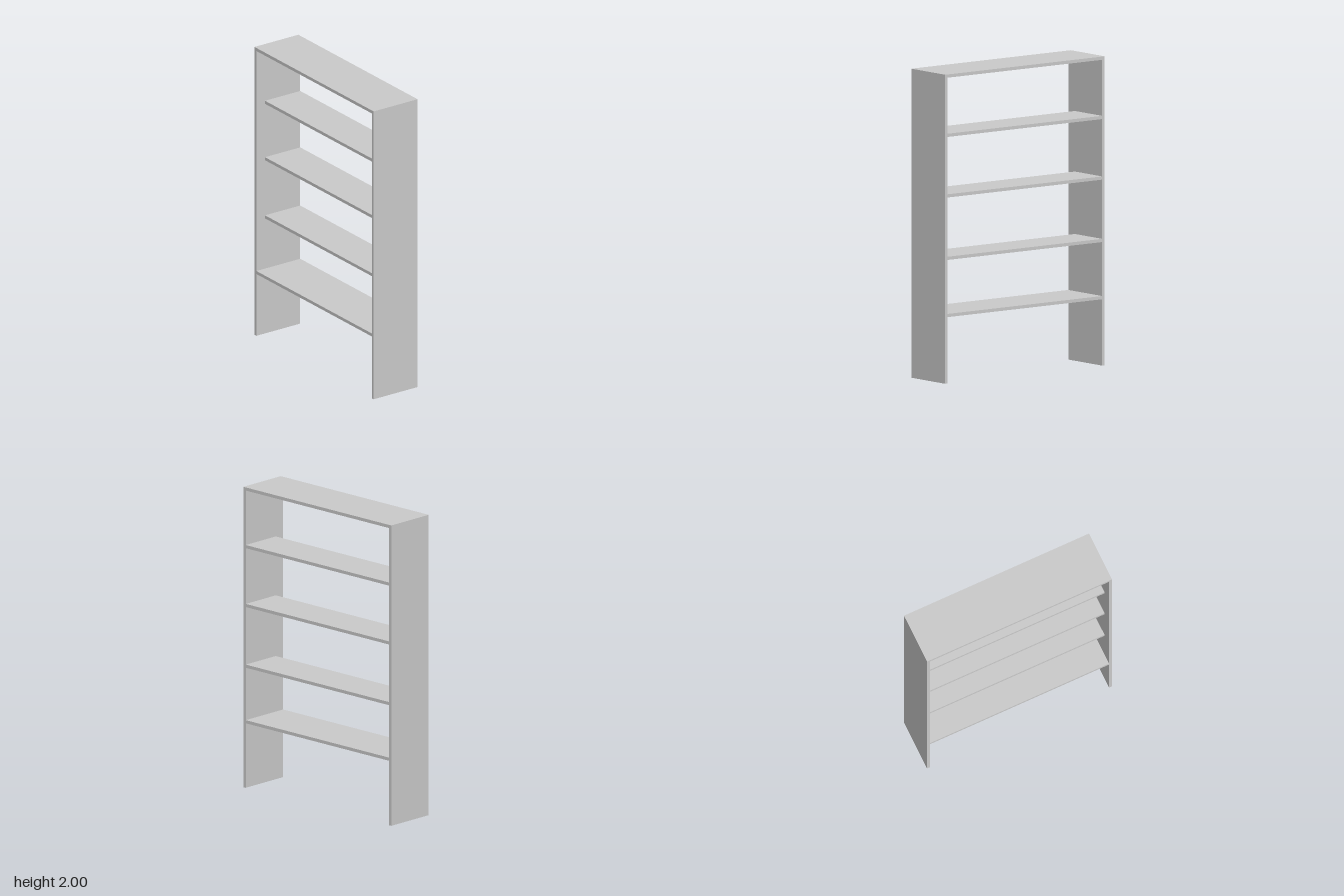
import * as THREE from 'three';

const WIDTH = 1.31, HEIGHT = 2, DEPTH = 0.346, BOARD = 0.021;
const RECESS = 0.068; // setback of the shallow shelves from the front

export function createModel() {
  const group = new THREE.Group();
  const material = new THREE.MeshStandardMaterial({ color: 0xcccccc });

  const addBoard = (name, size, position) => {
    const mesh = new THREE.Mesh(new THREE.BoxGeometry(...size), material);
    mesh.name = name;
    mesh.position.set(...position);
    group.add(mesh);
  };

  // Upright side panels
  for (const [name, side] of [['leftPanel', 1], ['rightPanel', -1]]) {
    addBoard(name, [BOARD, HEIGHT, DEPTH], [side * (WIDTH - BOARD) / 2, HEIGHT / 2, 0]);
  }

  // Full-depth top board and bottom shelf, fitted between the panels
  const inner = WIDTH - 2 * BOARD;
  addBoard('topBoard', [inner, BOARD, DEPTH], [0, HEIGHT - BOARD / 2, 0]);
  addBoard('bottomShelf', [inner, BOARD, DEPTH], [0, 0.44, 0]);

  // Shallow middle shelves, flush with the back
  [0.81, 1.214, 1.606].forEach((y, i) => {
    addBoard(`middleShelf${i + 1}`, [inner, BOARD, DEPTH - RECESS], [0, y, -RECESS / 2]);
  });

  return group;
}
